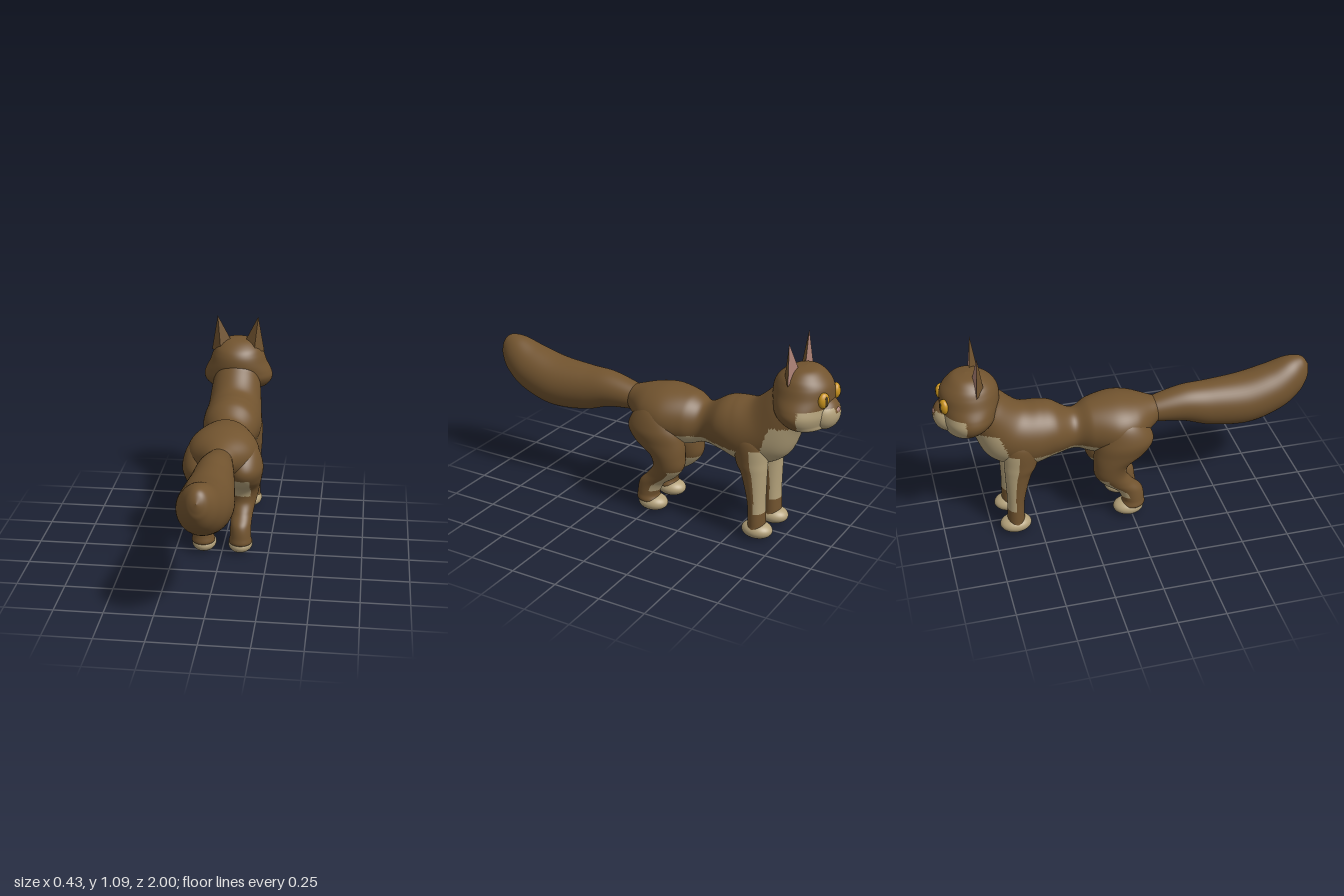
import * as THREE from 'three';

const mat = (name, color, side = THREE.FrontSide) => {
  const m = new THREE.MeshStandardMaterial({ color, side });
  m.name = name;
  return m;
};

// Splits a geometry into two material groups: base coat, then triangles where rule(point, normal) holds
function paint(geo, rule) {
  const pos = geo.attributes.position, idx = geo.index.array;
  const lists = [[], []], tri = new THREE.Triangle();
  const mid = new THREE.Vector3(), n = new THREE.Vector3();
  for (let i = 0; i < idx.length; i += 3) {
    tri.setFromAttributeAndIndices(pos, idx[i], idx[i + 1], idx[i + 2]);
    tri.getMidpoint(mid);
    tri.getNormal(n);
    lists[rule(mid, n) ? 1 : 0].push(idx[i], idx[i + 1], idx[i + 2]);
  }
  geo.setIndex([...lists[0], ...lists[1]]);
  geo.addGroup(0, lists[0].length, 0);
  geo.addGroup(lists[0].length, lists[1].length, 1);
  return geo;
}

// Smooth skin over elliptical rings [x, y, z, radiusX, radius2, tilt].
// Tilt 0 is an upright ring (rings run towards +z), PI/2 a level ring (rings run downwards).
function loft(rings, steps = 80, sides = 56) {
  const at = (i, k) => rings[Math.min(Math.max(i, 0), rings.length - 1)][k];
  const value = (u, k) => {
    const i = Math.min(Math.floor(u), rings.length - 2), t = u - i;
    const a = at(i, k), b = at(i + 1, k);
    const m0 = (b - at(i - 1, k)) / 2, m1 = (at(i + 2, k) - a) / 2;
    const t2 = t * t, t3 = t2 * t;
    return (2 * t3 - 3 * t2 + 1) * a + (t3 - 2 * t2 + t) * m0 + (3 * t2 - 2 * t3) * b + (t3 - t2) * m1;
  };
  const pts = [], index = [];
  for (let s = 0; s <= steps; s++) {
    const [x, y, z, rx, r2, tilt] = [0, 1, 2, 3, 4, 5].map(k => value(s / steps * (rings.length - 1), k));
    for (let j = 0; j < sides; j++) {
      const t = j / sides * Math.PI * 2;
      const c = Math.max(rx, 0.0005) * Math.cos(t), d = Math.max(r2, 0.0005) * Math.sin(t);
      pts.push(x + c, y + d * Math.cos(tilt), z + d * Math.sin(tilt));
      if (s === steps) continue;
      const a = s * sides + j, b = s * sides + (j + 1) % sides;
      index.push(a, b, a + sides, b, b + sides, a + sides);
    }
  }
  const geo = new THREE.BufferGeometry();
  geo.setAttribute('position', new THREE.Float32BufferAttribute(pts, 3));
  geo.setIndex(index);
  geo.computeVertexNormals();
  return geo;
}

const level = rings => rings.map(r => [...r, Math.PI / 2]);

function ellipsoid(x, y, z, rx, ry, rz, w = 32, h = 24) {
  return new THREE.SphereGeometry(1, w, h).scale(rx, ry, rz).translate(x, y, z);
}

export function createModel() {
  const model = new THREE.Group();
  model.name = 'bushyTailedAnimal';
  const brown = mat('brown fur', 0x72542f, THREE.DoubleSide);
  const cream = mat('cream fur', 0xb3a17a);
  const pink = mat('pink skin', 0xab8175, THREE.DoubleSide);
  const amber = mat('amber eye', 0xc8921c);
  const dark = mat('dark pupil', 0x4a3a1c);
  const fur = [brown, cream];
  const add = (name, geo, material, parent = model) => {
    const mesh = new THREE.Mesh(geo, material);
    mesh.name = name;
    parent.add(mesh);
    return mesh;
  };

  // Neck, chest, waist and hips, with pale throat and belly
  add('torso', paint(loft([
    [0, 0.82, -0.80, 0, 0, 0.65],
    [0, 0.79, -0.785, 0.11, 0.11, 0.65],
    [0, 0.705, -0.73, 0.135, 0.13, 0.65],
    [0, 0.59, -0.645, 0.15, 0.165, 0.6],
    [0, 0.545, -0.515, 0.162, 0.178, 0.3],
    [0, 0.555, -0.40, 0.148, 0.145, 0.05],
    [0, 0.535, -0.29, 0.105, 0.11, 0],
    [0, 0.54, -0.20, 0.15, 0.14, 0],
    [0, 0.545, -0.08, 0.19, 0.15, 0],
    [0, 0.56, 0.03, 0.17, 0.125, -0.1],
    [0, 0.575, 0.12, 0.10, 0.085, -0.1],
    [0, 0.58, 0.18, 0.05, 0.05, 0],
    [0, 0.58, 0.20, 0, 0, 0],
  ], 130, 72), (p, n) =>
    (p.y < 0.64 && p.z < -0.62 - (p.y - 0.43) * 0.35) ||
    (p.y < 0.48 && n.y < -0.3 && p.z > -0.62)), fur);

  // Head with wide, low cheeks
  const paleFace = p => p.z < -0.855 && p.y < (Math.abs(p.x) < 0.03 ? 0.745 : 0.775);
  add('head', paint(loft(level([
    [0, 0.956, -0.82, 0, 0],
    [0, 0.945, -0.817, 0.075, 0.065],
    [0, 0.91, -0.81, 0.122, 0.115],
    [0, 0.87, -0.81, 0.145, 0.143],
    [0, 0.82, -0.81, 0.163, 0.15],
    [0, 0.77, -0.815, 0.188, 0.145],
    [0, 0.73, -0.82, 0.196, 0.14],
    [0, 0.69, -0.83, 0.178, 0.12],
    [0, 0.66, -0.85, 0.135, 0.09],
    [0, 0.643, -0.87, 0, 0],
  ]), 90, 80), paleFace), fur);
  add('muzzle', paint(ellipsoid(0, 0.73, -0.92, 0.095, 0.085, 0.08, 64, 48), paleFace), fur);
  add('nose', ellipsoid(0, 0.755, -0.988, 0.022, 0.016, 0.012), pink);

  // Bushy tail, curling up at the end
  add('tail', loft([
    [0, 0.57, 0.08, 0.05, 0.055, 0],
    [0, 0.578, 0.14, 0.07, 0.068, 0],
    [0, 0.588, 0.30, 0.095, 0.097, 0],
    [0, 0.568, 0.45, 0.115, 0.123, 0],
    [0, 0.567, 0.64, 0.135, 0.137, -0.1],
    [0, 0.612, 0.80, 0.125, 0.129, -0.32],
    [0, 0.668, 0.905, 0.095, 0.111, -0.35],
    [0, 0.708, 0.96, 0.06, 0.077, -0.4],
    [0, 0.72, 0.985, 0.033, 0.045, -0.3],
    [0, 0.72, 1.0, 0, 0, -0.3],
  ]), brown);

  for (const s of [1, -1]) {
    const side = s > 0 ? 'left' : 'right';

    // Hind leg: thigh, hock and pale front of the shank
    add(side + 'HindLeg', paint(loft(level([
      [s * 0.08, 0.66, -0.04, 0, 0],
      [s * 0.09, 0.60, -0.035, 0.085, 0.09],
      [s * 0.11, 0.50, -0.03, 0.103, 0.145],
      [s * 0.108, 0.42, -0.058, 0.098, 0.14],
      [s * 0.106, 0.35, -0.105, 0.086, 0.098],
      [s * 0.105, 0.28, -0.112, 0.073, 0.085],
      [s * 0.103, 0.22, -0.072, 0.06, 0.08],
      [s * 0.10, 0.165, -0.012, 0.056, 0.07],
      [s * 0.10, 0.10, 0.01, 0.057, 0.06],
      [s * 0.10, 0.06, 0.005, 0.058, 0.062],
      [s * 0.10, 0.05, 0, 0, 0],
    ]), 100), (p, n) =>
      (p.y > 0.125 && p.y < 0.27 && n.z < -0.3) ||
      (p.y > 0.31 && p.y < 0.45 && Math.abs(p.x) < 0.15 && n.z > 0.1)), fur);
    add(side + 'HindPaw', ellipsoid(s * 0.098, 0.045, -0.015, 0.065, 0.045, 0.082), cream);

    // Front leg with pale front
    add(side + 'FrontLeg', paint(loft(level([
      [s * 0.08, 0.60, -0.57, 0, 0],
      [s * 0.085, 0.55, -0.572, 0.072, 0.09],
      [s * 0.092, 0.42, -0.585, 0.07, 0.085],
      [s * 0.095, 0.35, -0.602, 0.062, 0.067],
      [s * 0.095, 0.20, -0.62, 0.056, 0.046],
      [s * 0.095, 0.08, -0.625, 0.056, 0.045],
      [s * 0.095, 0.06, -0.625, 0.055, 0.045],
      [s * 0.095, 0.05, -0.625, 0, 0],
    ]), 90), (p, n) => p.y > 0.15 && p.y < 0.5 && n.z < -0.2), fur);
    add(side + 'FrontPaw', ellipsoid(s * 0.095, 0.045, -0.628, 0.065, 0.045, 0.083), cream);

    // Pointed ear: two brown back faces and a pink inner face
    const O = [s * 0.15, 0.885, -0.79], I = [s * 0.035, 0.93, -0.795];
    const B = [s * 0.095, 0.89, -0.745], T = [s * 0.115, 1.09, -0.772];
    const face = (a, b, c) => (s > 0 ? [a, b, c] : [a, c, b]).flat();
    const ear = new THREE.Group();
    ear.name = side + 'Ear';
    model.add(ear);
    const shell = (name, points, material) => {
      const g = new THREE.BufferGeometry();
      g.setAttribute('position', new THREE.Float32BufferAttribute(points, 3));
      g.computeVertexNormals();
      add(name, g, material, ear);
    };
    shell('earBack', [...face(B, O, T), ...face(I, B, T)], brown);
    shell('earInner', face(O, I, T), pink);

    // Eye with an upright pupil
    const eye = new THREE.Group();
    eye.name = side + 'Eye';
    eye.position.set(s * 0.075, 0.82, -0.945);
    eye.rotation.y = -s * 0.35;
    add('eyeball', ellipsoid(0, 0, 0, 0.032, 0.04, 0.022), amber, eye);
    add('pupil', ellipsoid(0, 0, -0.019, 0.01, 0.026, 0.0045, 16, 12), dark, eye);
    model.add(eye);
  }
  return model;
}
